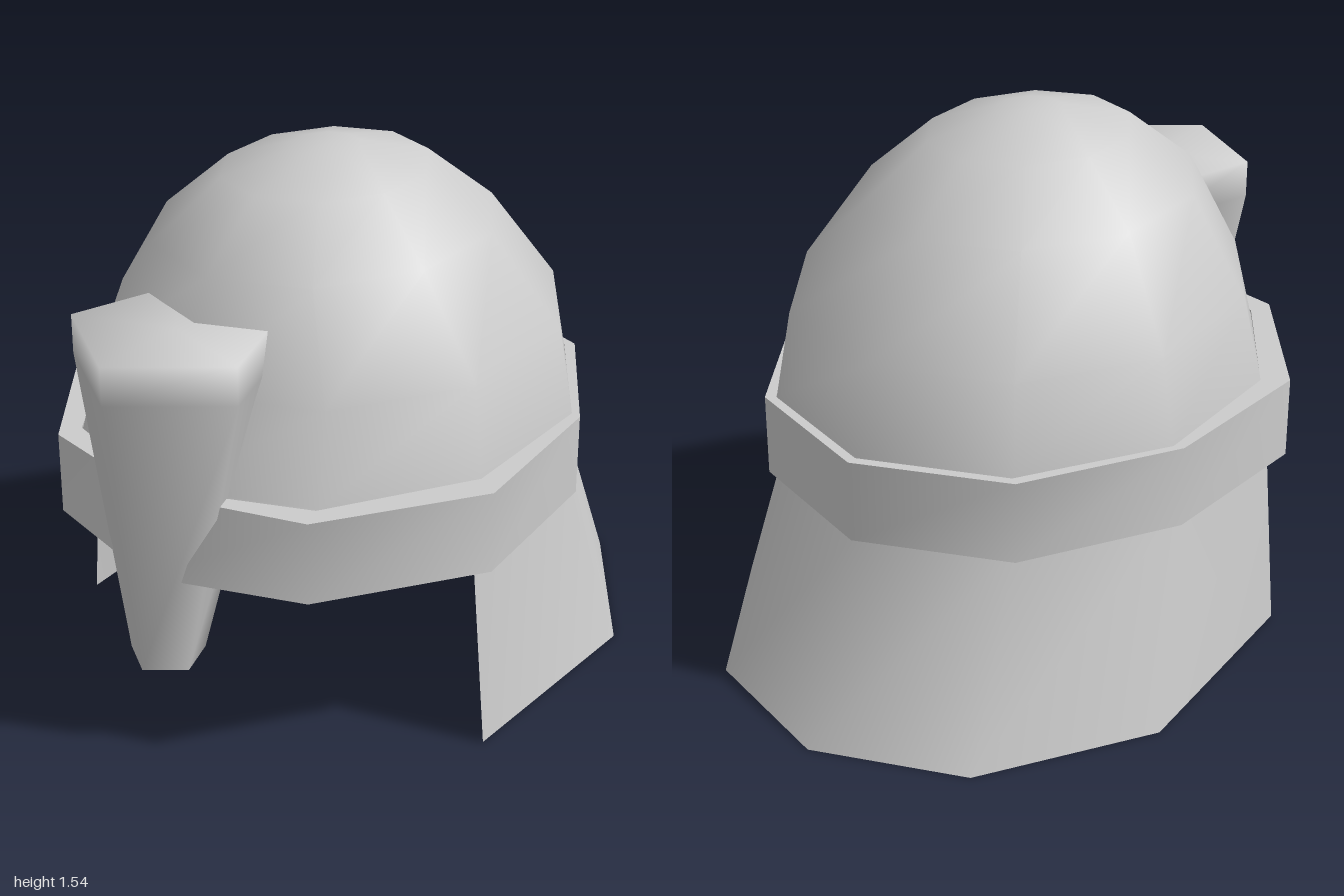
import * as THREE from 'three';
import { toCreasedNormals } from 'three/addons/utils/BufferGeometryUtils.js';

const material = new THREE.MeshStandardMaterial({ color: 0xcccccc, side: THREE.DoubleSide });

// Elliptical ring of points, starting at the back and passing the +x side.
function ring(sides, y, rx, rz, cx, cz, start = 0) {
  return Array.from({ length: sides }, (_, i) => {
    const t = start + (i / sides) * Math.PI * 2;
    return [cx + rx * Math.sin(t), y, cz - rz * Math.cos(t)];
  });
}

// Symmetric ring from [x, z] points running from the back centre to the front centre.
function mirrorRing(y, half) {
  const mirrored = half.slice(1, -1).reverse().map(([x, z]) => [-x, z]);
  return [...half, ...mirrored].map(([x, z]) => [x, y, z]);
}

// Skin between rings listed from bottom to top, faces outward.
function loft(rings, closed = true) {
  const n = rings[0].length;
  const index = [];
  for (let r = 0; r < rings.length - 1; r++) {
    for (let i = 0; i < (closed ? n : n - 1); i++) {
      const a = r * n + i, b = r * n + ((i + 1) % n);
      index.push(a, a + n, b, b, a + n, b + n);
    }
  }
  const geometry = new THREE.BufferGeometry();
  geometry.setAttribute('position', new THREE.Float32BufferAttribute(rings.flat(2), 3));
  geometry.setIndex(index);
  geometry.computeVertexNormals();
  return geometry;
}

export function createModel() {
  const group = new THREE.Group();
  const add = (name, geometry) => {
    const mesh = new THREE.Mesh(geometry, material);
    mesh.name = name;
    group.add(mesh);
  };

  // Ten-sided rounded dome: [y, rx, rz, centre z]
  const dome = [
    [0.78, 0.698, 0.785, 0.035], [0.8, 0.694, 0.775, 0.033], [1.05, 0.647, 0.71, 0.02],
    [1.33, 0.463, 0.535, 0.065], [1.49, 0.279, 0.325, 0.065],
    [1.545, 0.095, 0.105, 0.065], [1.545, 0, 0, 0.065],
  ];
  add('dome', loft(dome.map(([y, rx, rz, cz]) => ring(10, y, rx, rz, 0, cz))));

  // Brow band with ledges above and below
  const outer = (y, front) => mirrorRing(y,
    [[0, -0.78], [0.43, -0.62], [0.69, -0.2], [0.73, 0.32], [0.43, 0.74], [0, front]]);
  const inner = (y) => ring(10, y, 0.69, 0.785, 0, 0.035);
  const band = loft([inner(0.56), outer(0.56, 0.88), outer(0.8, 0.85), inner(0.8), inner(0.56)]);
  add('browBand', toCreasedNormals(band, 1.0));

  // Flared neck guard, open at the front
  const guardRing = (y, half) => [
    ...half.slice(1).reverse().map(([x, z]) => [-x, y, z]),
    ...half.map(([x, z]) => [x, y, z]),
  ];
  add('neckGuard', loft([
    guardRing(0, [[0, -1], [0.44, -0.845], [0.75, -0.38], [0.72, 0.315]]),
    guardRing(0.57, [[0, -0.755], [0.41, -0.6], [0.665, -0.2], [0.67, 0.315]]),
  ], false));

  // Five-sided tapering nose guard: [y, radius, centre z]
  const nose = [[0.265, 0, 0.787], [0.265, 0.108, 0.787], [1.11, 0.293, 0.707],
    [1.22, 0.293, 0.707], [1.22, 0, 0.707]];
  add('noseGuard', loft(nose.map(([y, r, cz]) => ring(5, y, r, r, -0.02, cz, Math.PI))));

  return group;
}
